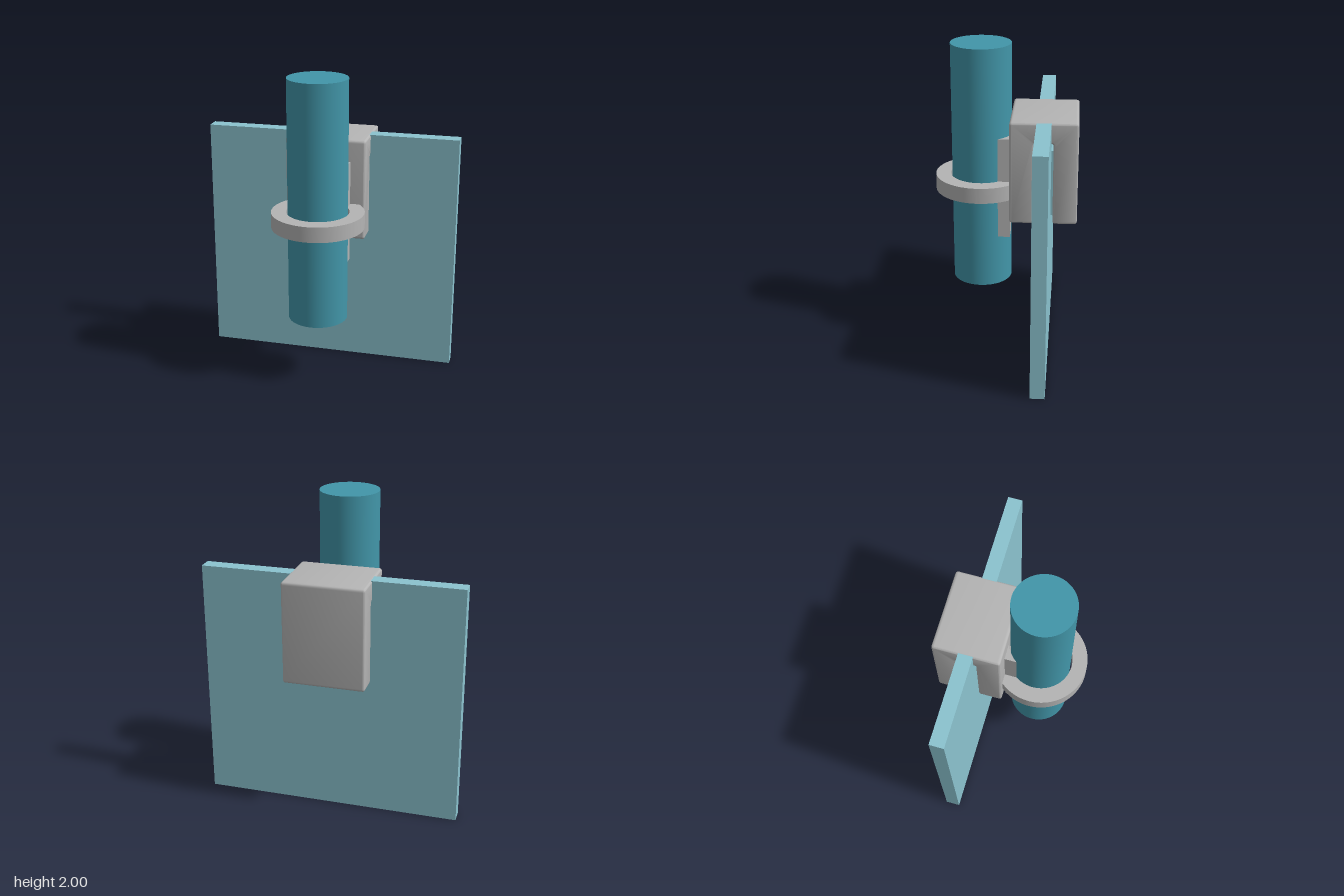
import * as THREE from 'three';
import { toCreasedNormals } from 'three/addons/utils/BufferGeometryUtils.js';

const grey = new THREE.MeshStandardMaterial({ color: 0xb4b4b4 });
grey.name = 'bracketGrey';
const teal = new THREE.MeshStandardMaterial({ color: 0x4296a9 });
teal.name = 'tubeTeal';
const paleTeal = new THREE.MeshStandardMaterial({ color: 0x8bc3cf });
paleTeal.name = 'panelPaleTeal';

const AXIS_Z = 0.16;   // centre line of the tube
const CLIP_Z = -0.03;  // front face of the clip
const BORE = 0.2;      // radius of the holder's bore

function add(group, name, geometry, material, x = 0, y = 0, z = 0) {
  const mesh = new THREE.Mesh(geometry, material);
  mesh.name = name;
  mesh.position.set(x, y, z);
  group.add(mesh);
  return mesh;
}

// Polygon with rounded corners from [a, b] points
function roundedShape(points, r) {
  const shape = new THREE.Shape();
  const n = points.length;
  const v = points.map(p => new THREE.Vector2(...p));
  const toward = (p, q) => p.clone().add(q.clone().sub(p).setLength(r));
  for (let i = 0; i < n; i++) {
    const p = v[i];
    const a = toward(p, v[(i + n - 1) % n]);
    const b = toward(p, v[(i + 1) % n]);
    if (i === 0) shape.moveTo(a.x, a.y);
    else shape.lineTo(a.x, a.y);
    shape.quadraticCurveTo(p.x, p.y, b.x, b.y);
  }
  shape.closePath();
  return shape;
}

// Upright extrusion of a plan drawn as (x, -z)
function extrudeUp(shape, height) {
  const g = new THREE.ExtrudeGeometry(shape, { depth: height, bevelEnabled: false, curveSegments: 64 });
  g.rotateX(-Math.PI / 2);
  return toCreasedNormals(g, 0.5);
}

// Inverted U that hooks over the panel, drawn as (z, y)
function clipGeometry() {
  const bevel = 0.014;
  const profile = roundedShape([
    [-0.455, 0.91], [-0.302, 0.91], [-0.302, 1.44], [-0.183, 1.44],
    [-0.183, 0.91], [CLIP_Z, 0.91], [CLIP_Z, 1.57], [-0.455, 1.57],
  ], 0.02);
  const depth = 0.52 - 2 * bevel;
  const g = new THREE.ExtrudeGeometry(profile, {
    depth, bevelEnabled: true, bevelThickness: bevel, bevelSize: bevel,
    bevelOffset: -bevel, bevelSegments: 4, curveSegments: 5,
  });
  g.translate(0, 0, -depth / 2);
  g.rotateY(-Math.PI / 2);
  return toCreasedNormals(g, 0.6);
}

// Ring around the tube, ending at the clip's front face
function ringGeometry() {
  const outer = 0.295;
  const drop = AXIS_Z - CLIP_Z + 0.005;
  const a = Math.asin(drop / outer);
  const b = Math.asin(drop / BORE);
  const shape = new THREE.Shape();
  shape.absarc(0, 0, outer, Math.PI - a, 2 * Math.PI + a, false);
  shape.absarc(0, 0, BORE, 2 * Math.PI + b, Math.PI - b, true);
  shape.closePath();
  return extrudeUp(shape, 0.1);
}

// One side of the cradle, hollowed by the bore
function cradleGeometry(side) {
  const half = 0.165;
  const back = AXIS_Z - CLIP_Z;
  const innerX = Math.sqrt(BORE * BORE - back * back);
  const start = Math.asin(back / BORE);
  const end = Math.acos(half / BORE);
  const pts = [[half, back]];
  for (let i = 0; i <= 12; i++) {
    const t = start + (end - start) * i / 12;
    pts.push(i === 0 ? [innerX, back] : [Math.cos(t) * BORE, Math.sin(t) * BORE]);
  }
  const shape = new THREE.Shape(pts.map(([x, y]) => new THREE.Vector2(side * x, y)));
  return extrudeUp(shape, 0.66);
}

export function createModel() {
  const model = new THREE.Group();
  model.name = 'panelClipTubeHolder';

  // Panel and tube
  add(model, 'panel', new THREE.BoxGeometry(1.66, 1.569, 0.092), paleTeal, 0, 0.7845, -0.242);
  add(model, 'tube', new THREE.CylinderGeometry(0.19, 0.19, 1.57, 96), teal, 0, 1.215, AXIS_Z);

  // Clip over the panel's top edge
  add(model, 'clip', clipGeometry(), grey);

  // Pads inside the slot
  add(model, 'backPad', new THREE.BoxGeometry(0.42, 0.43, 0.014), paleTeal, 0, 1.165, -0.295);
  const disc = add(model, 'frontPressureDisc', new THREE.CylinderGeometry(0.12, 0.12, 0.014, 48), grey, 0, 1.15, -0.19);
  disc.rotation.x = Math.PI / 2;

  // Tube holder: ring and two-sided cradle
  const holder = new THREE.Group();
  holder.name = 'tubeHolder';
  model.add(holder);
  add(holder, 'ring', ringGeometry(), grey, 0, 1.05, AXIS_Z);
  add(holder, 'cradleLeft', cradleGeometry(1), grey, 0, 0.77, AXIS_Z);
  add(holder, 'cradleRight', cradleGeometry(-1), grey, 0, 0.77, AXIS_Z);

  return model;
}
